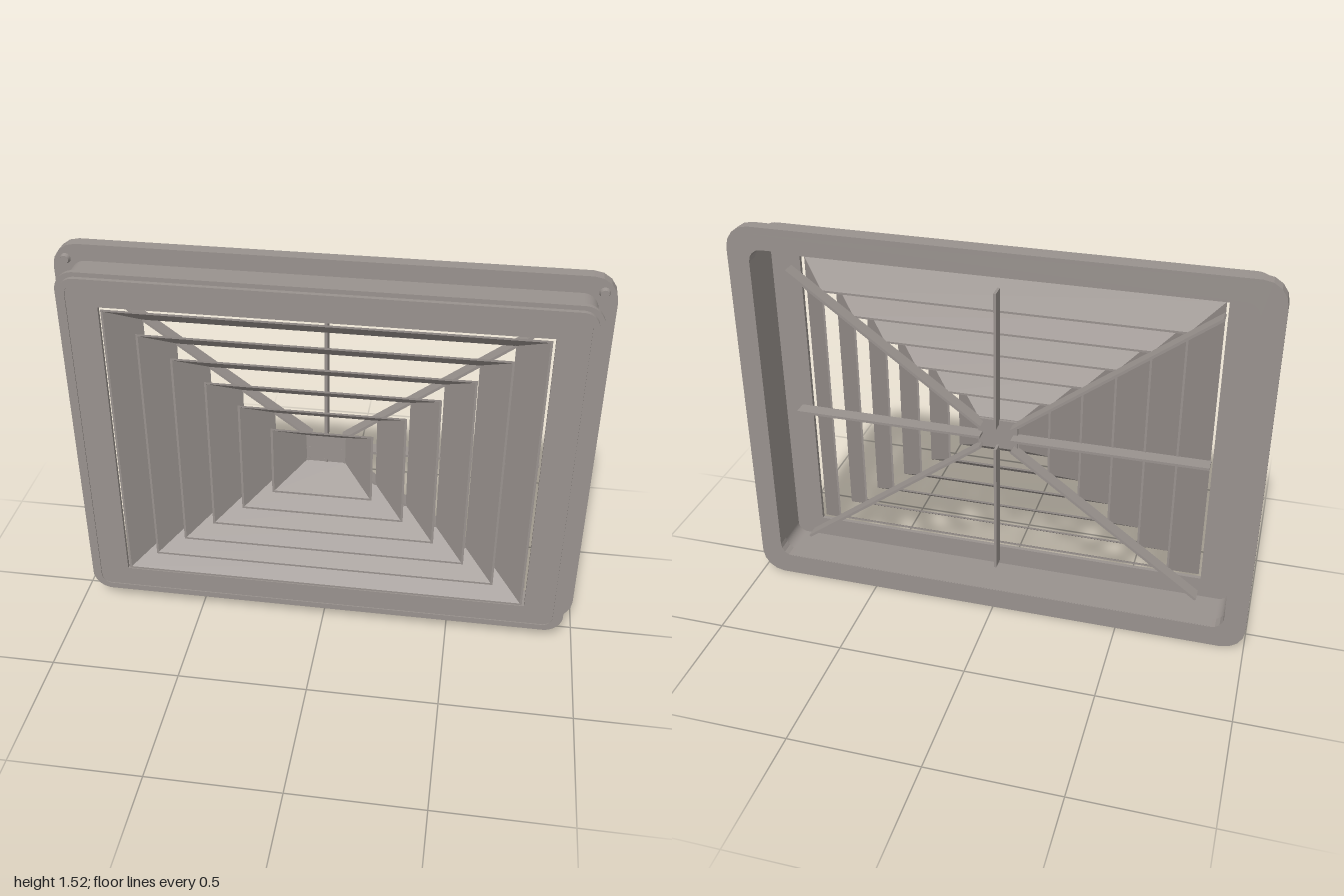
import * as THREE from 'three';

const CY = 0.7625; // height of the centre

function roundedRect(target, hx, hy, r) {
  target.moveTo(hx, -hy + r);
  target.lineTo(hx, hy - r);
  target.absarc(hx - r, hy - r, r, 0, Math.PI / 2, false);
  target.lineTo(-hx + r, hy);
  target.absarc(-hx + r, hy - r, r, Math.PI / 2, Math.PI, false);
  target.lineTo(-hx, -hy + r);
  target.absarc(-hx + r, -hy + r, r, Math.PI, Math.PI * 1.5, false);
  target.lineTo(hx - r, -hy);
  target.absarc(hx - r, -hy + r, r, Math.PI * 1.5, Math.PI * 2, false);
  return target;
}

// Rectangular ring between z0 and z1; outer and inner are [halfWidth, halfHeight, radius]
function ringGeometry(outer, inner, z0, z1, curveSegments) {
  const shape = roundedRect(new THREE.Shape(), ...outer);
  const [ix, iy, ir] = inner;
  if (ir > 0) {
    shape.holes.push(roundedRect(new THREE.Path(), ix, iy, ir));
  } else {
    shape.holes.push(new THREE.Path([[ix, iy], [-ix, iy], [-ix, -iy], [ix, -iy]].map(p => new THREE.Vector2(...p))));
  }
  const geo = new THREE.ExtrudeGeometry(shape, { depth: z1 - z0, bevelEnabled: false, curveSegments });
  return geo.translate(0, 0, z0);
}

// Mitred rectangular louver: a closed profile of [halfWidth, halfHeight, z] swept round four corners
function louverGeometry(profile) {
  const corners = [[1, 1], [-1, 1], [-1, -1], [1, -1]];
  const pos = [];
  const at = (k, j) => {
    const [sx, sy] = corners[k % 4];
    const [x, y, z] = profile[j % profile.length];
    return [sx * x, sy * y, z];
  };
  for (let k = 0; k < 4; k++) {
    for (let j = 0; j < profile.length; j++) {
      const a = at(k, j), b = at(k, j + 1), c = at(k + 1, j + 1), d = at(k + 1, j);
      pos.push(...a, ...d, ...c, ...a, ...c, ...b);
    }
  }
  const geo = new THREE.BufferGeometry();
  geo.setAttribute('position', new THREE.Float32BufferAttribute(pos, 3));
  geo.computeVertexNormals();
  return geo;
}

export function createModel() {
  const group = new THREE.Group();
  group.name = 'louveredVent';
  const metal = new THREE.MeshStandardMaterial({ color: 0x99928e });
  metal.name = 'warm grey metal';

  const add = (name, geo, x = 0, y = 0, z = 0) => {
    const mesh = new THREE.Mesh(geo, metal);
    mesh.name = name;
    mesh.position.set(x, CY + y, z);
    group.add(mesh);
    return mesh;
  };

  // Rear flange, housing wall, seal bead and front panel
  add('flange', ringGeometry([1, CY, 0.09], [0.915, 0.677, 0.05], -0.1, -0.05, 2));
  add('housing', ringGeometry([0.938, 0.699, 0.06], [0.915, 0.676, 0.04], -0.098, 0.1, 8));
  add('bead', ringGeometry([0.956, 0.716, 0.075], [0.93, 0.691, 0.055], 0.065, 0.083, 8));
  add('frontPanel', ringGeometry([0.918, 0.679, 0.042], [0.8, 0.592, 0], 0.08, 0.096, 8));

  // Corner screws
  const screw = new THREE.CylinderGeometry(0.015, 0.02, 0.016, 12).rotateX(Math.PI / 2);
  for (const sx of [-1, 1]) {
    for (const sy of [-1, 1]) add('screw', screw, sx * 0.952, sy * 0.705, -0.043);
  }

  // Six nested louvers, wide at the front and narrowing to the back
  const t = 0.008;
  for (let i = 0; i < 6; i++) {
    const hx = 0.79 - 0.12 * i, hy = 0.586 - 0.0885 * i;
    const bx = hx - 0.118, by = hy - 0.0885;
    add('louver', louverGeometry([
      [hx, hy, 0.099], [hx - t, hy - t, 0.099], [bx, by, -0.012], [bx + t, by + t, -0.012],
    ]));
  }

  // Centre plate
  add('centrePlate', new THREE.BoxGeometry(0.154, 0.12, 0.012), 0, 0, -0.016);

  // Eight thin support fins behind the louvers
  const fin = (x0, y0, x1, y1) => {
    const length = Math.hypot(x1 - x0, y1 - y0);
    const mesh = add('supportFin', new THREE.BoxGeometry(length, 0.01, 0.055), (x0 + x1) / 2, (y0 + y1) / 2, -0.036);
    mesh.rotation.z = Math.atan2(y1 - y0, x1 - x0);
  };
  for (const s of [-1, 1]) {
    fin(s * 0.06, 0, s * 0.8, 0);
    fin(0, s * 0.045, 0, s * 0.592);
    for (const v of [-1, 1]) fin(s * 0.06, v * 0.045, s * 0.797, v * 0.589);
  }
  return group;
}
